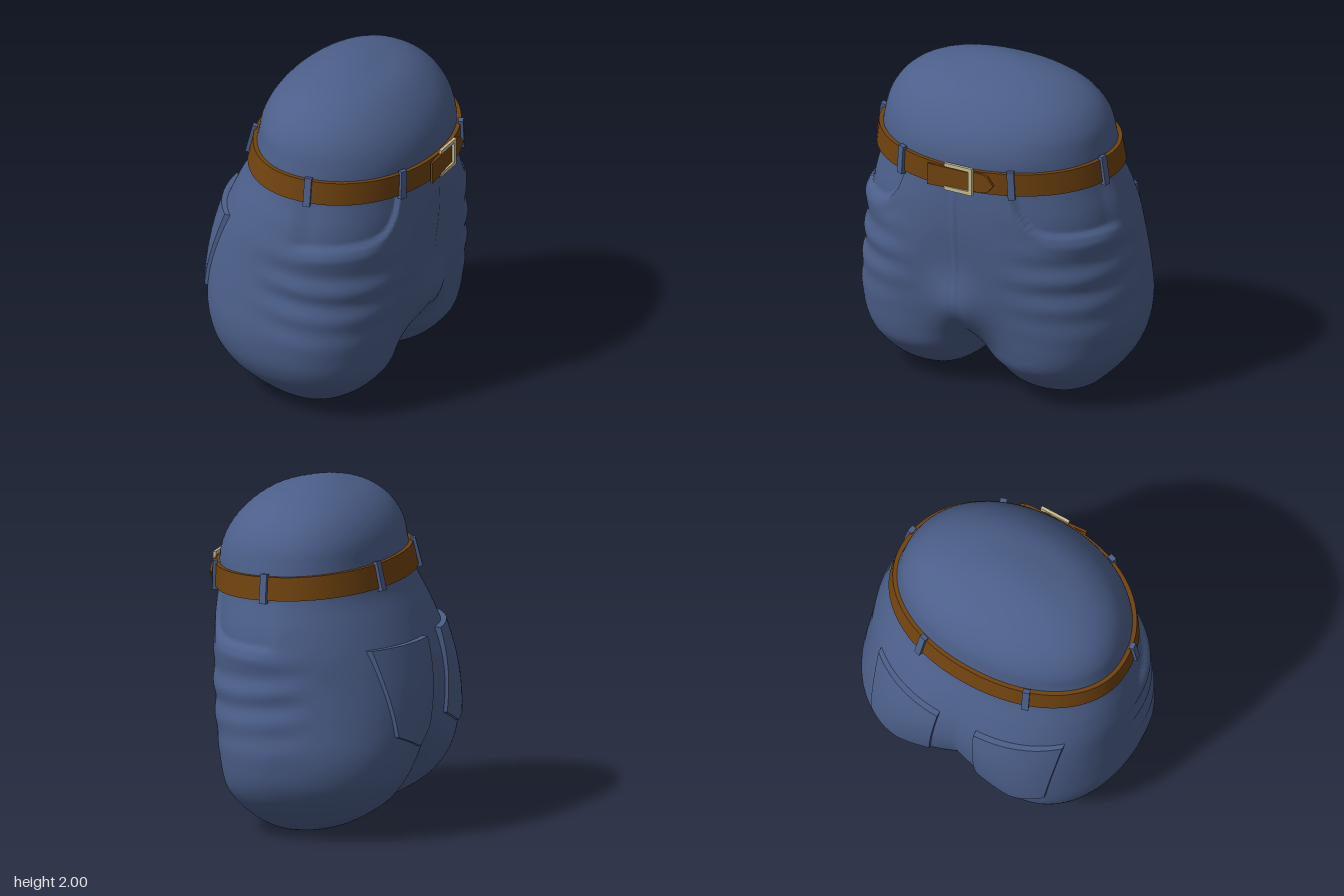
import * as THREE from 'three';
import { mergeVertices, toCreasedNormals } from 'three/addons/utils/BufferGeometryUtils.js';

const denim = new THREE.MeshStandardMaterial({ color: 0x4c5f8a, side: THREE.DoubleSide });
const leather = new THREE.MeshStandardMaterial({ color: 0x70430f, side: THREE.DoubleSide });
const metal = new THREE.MeshStandardMaterial({ color: 0xc9bd96 });

// Cross-sections by height: y, back x, front x, leg centre z, outer z, inner half width
const ROWS = [
  [0, .06, .06, .39, .39, 0],
  [.05, -.22, .26, .39, .60, .18],
  [.12, -.36, .37, .39, .69, .27],
  [.2, -.47, .45, .39, .765, .33],
  [.25, -.515, .485, .39, .80, .39],
  [.34, -.575, .51, .39, .84, .47],
  [.5, -.63, .54, .36, .865, .65],
  [.7, -.65, .575, .3, .85, .85],
  [.92, -.64, .61, .2, .83, 1],
  [1.1, -.60, .63, .1, .82, 1],
  [1.25, -.54, .635, .05, .79, 1],
  [1.42, -.46, .63, 0, .74, 1],
  [1.6, -.41, .625, 0, .71, 1],
  [1.72, -.385, .58, 0, .68, 1],
  [1.84, -.31, .485, 0, .59, 1],
  [1.93, -.19, .36, 0, .43, 1],
  [1.97, -.09, .24, 0, .28, 1],
  [2, .06, .06, 0, 0, 1],
];
const CX = 0.06, POW = 2.1;
// Spacing heights like a sphere's latitude keeps both ends round
const latitude = y => Math.acos(THREE.MathUtils.clamp(1 - y, -1, 1));
const profile = new THREE.CubicInterpolant(
  ROWS.map(r => latitude(r[0])), ROWS.flatMap(r => r.slice(1)), 5, new Float32Array(5));

function section(y) {
  const [back, front, zc, out, inner] = profile.evaluate(latitude(y));
  const pos = v => Math.max(v, 1e-4);
  return { back: pos(CX - back), front: pos(front - CX), zc, out: pos(out - zc), inner: pos(inner) };
}

function across(s, z) {
  const d = Math.abs(z) - s.zc;
  return Math.pow(Math.abs(d) / (d > 0 ? s.out : s.inner), POW);
}

function inside(p) {
  if (p.y <= 0 || p.y >= 2) return false;
  const s = section(p.y), dx = p.x - CX;
  return Math.pow(Math.abs(dx) / (dx > 0 ? s.front : s.back), POW) + across(s, p.z) < 1;
}

// x of the seat's surface
function backX(y, z) {
  const s = section(y);
  return CX - s.back * Math.pow(Math.max(0, 1 - across(s, z)), 1 / POW);
}

const bell = (v, c, w) => Math.exp(-(((v - c) / w) ** 2));
const step = THREE.MathUtils.smoothstep;

// Trouser body: rays from the middle meet the cross-sections, then cloth detail is added
function bodyGeometry() {
  let g = new THREE.SphereGeometry(1, 200, 140).rotateX(Math.PI / 2);
  g.deleteAttribute('uv');
  g.deleteAttribute('normal');
  g = mergeVertices(g, 1e-5);
  const pos = g.attributes.position, centre = new THREE.Vector3(CX, 0.9, 0);
  const dir = new THREE.Vector3(), p = new THREE.Vector3();
  for (let i = 0; i < pos.count; i++) {
    dir.fromBufferAttribute(pos, i).normalize();
    let lo = 0, hi = 1.6;
    for (let k = 0; k < 24; k++) {
      const mid = (lo + hi) / 2;
      if (inside(p.copy(centre).addScaledVector(dir, mid))) lo = mid; else hi = mid;
    }
    p.copy(centre).addScaledVector(dir, lo);
    const { x, y, z } = p, az = Math.abs(z);
    const flat = new THREE.Vector3(dir.x, 0, dir.z).normalize();
    // hand pocket openings are set in below the belt
    const lip = 1.12 + 0.28 * Math.exp(-(az - 0.36) / 0.07);
    let d = -0.026 * step(y, lip, lip + 0.03) * step(x, 0.05, 0.2) * (az > 0.36 ? 1 : 0) * (1 - step(y, 1.4, 1.46));
    // creases over the hips and thighs
    const folds = step(x, -0.2, 0.1) * bell(y, 0.83, 0.27);
    d += 0.009 * folds * step(az, 0.2, 0.6) * Math.sin(y * 34 + x * 4 + az * 3);
    d += 0.012 * bell(y, lip - 0.04, 0.04) * step(x, 0, 0.3) * step(az, 0.4, 0.6);
    p.addScaledVector(flat, d);
    // fly: rounded bulge with a raised seam
    if (x > 0.1) {
      p.x += 0.1 * bell(z, 0, 0.17) * bell(y, 0.58, 0.2) * step(x, 0.1, 0.4);
      p.x += 0.008 * bell(z, 0, 0.014) * step(y, 0.35, 0.45) * (1 - step(y, 1.36, 1.42));
    }
    pos.setXYZ(i, p.x, p.y, p.z);
  }
  g.computeVertexNormals();
  return g;
}

// Belt: height follows x, sloping down to the front
const beltY = x => 1.52 - 0.057 * (x + 0.43);
function beltPoint(a, dy, off) {
  const c = Math.cos(a), n = Math.sin(a);
  const sp = v => Math.sign(v) * Math.pow(Math.abs(v), 2 / POW);
  const y = beltY(CX + 0.53 * c) + dy, s = section(y);
  return new THREE.Vector3(CX + sp(c) * ((c > 0 ? s.front : s.back) + off), y, sp(n) * (s.out + off));
}

function beltGeometry() {
  const N = 72, corners = [[-0.068, 0.022], [0.068, 0.024], [0.068, -0.01], [-0.068, -0.01]];
  const v = [], idx = [];
  for (let i = 0; i <= N; i++)
    for (const [dy, off] of corners) v.push(...beltPoint(i / N * Math.PI * 2, dy, off).toArray());
  for (let i = 0; i < N; i++)
    for (let k = 0; k < 4; k++) {
      const a = i * 4 + k, b = i * 4 + (k + 1) % 4;
      idx.push(a, b, a + 4, b, b + 4, a + 4);
    }
  const g = new THREE.BufferGeometry();
  g.setAttribute('position', new THREE.Float32BufferAttribute(v, 3));
  g.setIndex(idx);
  return toCreasedNormals(g, 0.6);
}

// Seat pocket: a patch laid over the surface, its rim folded down, with a pointed bottom
function pocketGeometry(side) {
  const n = 16, g = new THREE.PlaneGeometry(1, 1, n, n), pos = g.attributes.position;
  for (let i = 0; i < pos.count; i++) {
    const col = i % (n + 1), row = Math.floor(i / (n + 1));
    const rim = col === 0 || col === n || row === 0 || row === n;
    const u = THREE.MathUtils.clamp((col - 1) / (n - 2), 0, 1) - 0.5;
    const t = THREE.MathUtils.clamp((row - 1) / (n - 2), 0, 1);
    const z = side * 0.365 + u * (0.49 - 0.07 * t);
    const y = 1.13 - t * (0.51 + 0.09 * (1 - 2 * Math.abs(u)));
    const lift = rim ? -0.01 : 0.022 + 0.014 * (1 - t) ** 3;
    pos.setXYZ(i, backX(y, z) - lift, y, z);
  }
  return toCreasedNormals(g, 0.7);
}

// Flat outline (u runs towards -z) given thickness along x
function plate(points, depth) {
  const shape = new THREE.Shape(points.map(([u, y]) => new THREE.Vector2(u, y)));
  return new THREE.ExtrudeGeometry(shape, { depth, bevelEnabled: false }).rotateY(Math.PI / 2);
}

export function createModel() {
  const model = new THREE.Group();
  const add = (name, geometry, material) => {
    const mesh = new THREE.Mesh(geometry, material);
    mesh.name = name;
    model.add(mesh);
    return mesh;
  };

  add('trouserBody', bodyGeometry(), denim);
  add('belt', beltGeometry(), leather);

  for (const side of [1, -1]) {
    const label = side > 0 ? 'left' : 'right';
    add(label + 'SeatPocket', pocketGeometry(side), denim);

    // stitched edge of the hand pocket
    // belt loops at front, side and back
    [['Front', 0.485], ['Side', 1.4], ['Back', 2.68]].forEach(([place, angle]) => {
      const a = angle * side;
      const low = beltPoint(a, -0.085, 0.026), high = beltPoint(a, 0.085, 0.026);
      const ahead = beltPoint(a + 0.05, 0, 0.026), behind = beltPoint(a - 0.05, 0, 0.026);
      const up = high.clone().sub(low).normalize();
      const out = new THREE.Vector3().crossVectors(up, ahead.sub(behind)).normalize();
      const along = new THREE.Vector3().crossVectors(up, out);
      const loop = add(label + place + 'BeltLoop', new THREE.BoxGeometry(0.042, 0.175, 0.03), denim);
      loop.quaternion.setFromRotationMatrix(new THREE.Matrix4().makeBasis(along, up, out));
      loop.position.copy(low.add(high).multiplyScalar(0.5));
    });
  }

  // free end of the belt, standing slightly off the waist
  const tip = add('beltTip', plate(
    [[-0.08, -0.065], [0.2, -0.058], [0.24, -0.045], [0.28, 0], [0.24, 0.05], [0.2, 0.062], [-0.08, 0.065]], 0.016), leather);
  tip.position.set(0.636, 1.461, 0);

  // buckle: square frame open where the belt wraps it
  const buckle = add('buckle', plate(
    [[-0.035, -0.085], [0.15, -0.085], [0.15, 0.085], [-0.035, 0.085], [-0.035, 0.062], [0.125, 0.062],
      [0.125, -0.062], [-0.035, -0.062]], 0.018), metal);
  buckle.position.set(0.655, 1.465, 0);

  // belt strap running into the buckle
  const strap = add('buckleStrap', plate([[-0.15, -0.066], [0.12, -0.062], [0.12, 0.06], [-0.15, 0.066]], 0.014), leather);
  strap.position.set(0.652, 1.457, 0);
  strap.rotation.y = 0.06;

  return model;
}
